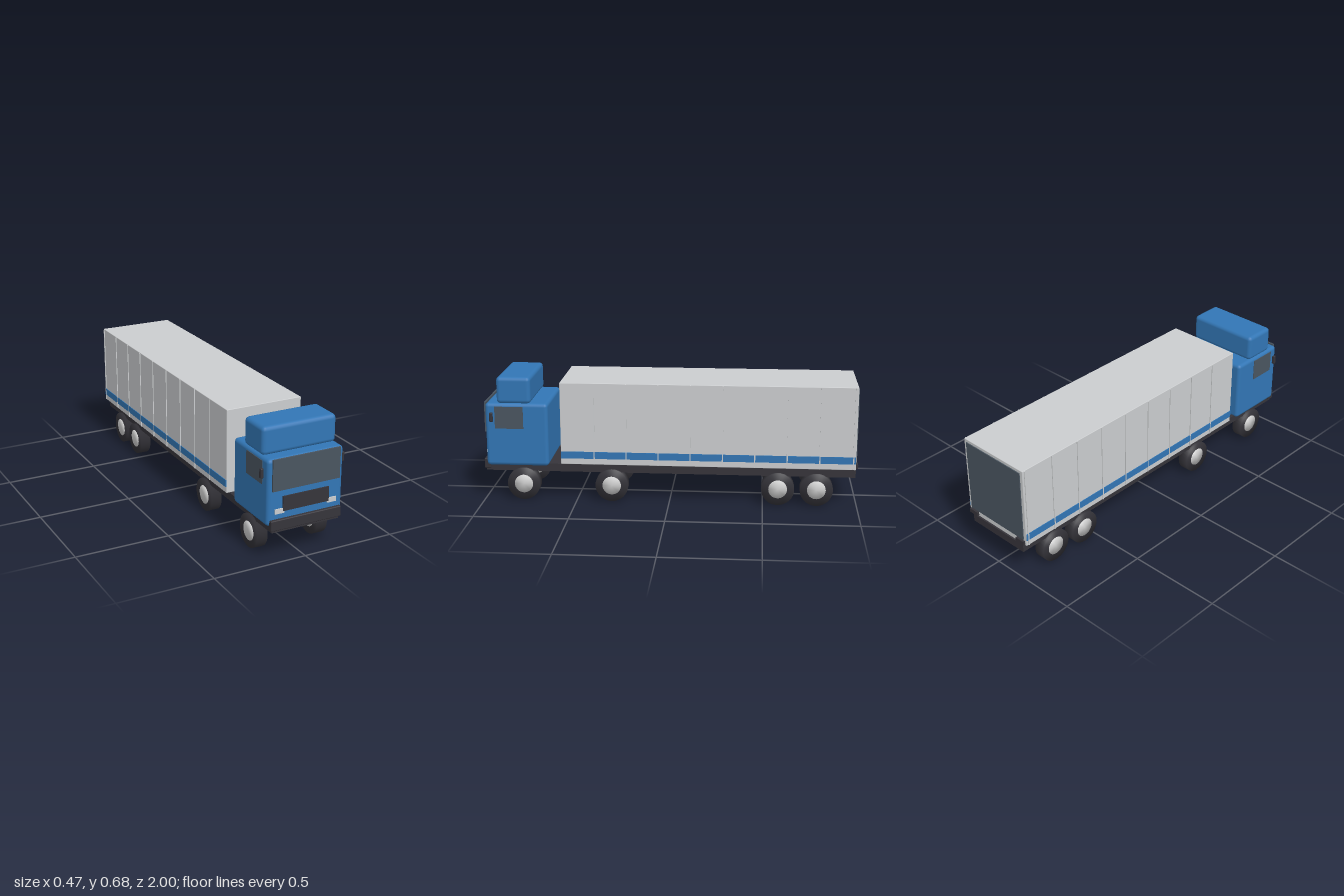
import * as THREE from 'three';
import { mergeVertices } from 'three/addons/utils/BufferGeometryUtils.js';
import { RoundedBoxGeometry } from 'three/addons/geometries/RoundedBoxGeometry.js';

const material = (name, color) => {
  const m = new THREE.MeshStandardMaterial({ color });
  m.name = name;
  return m;
};

export function createModel() {
  const truck = new THREE.Group();
  truck.name = 'boxTruck';

  const blue = material('cabBlue', 0x3276b5);
  const grey = material('cargoGrey', 0xcbcdcf);
  const glass = material('slateGlass', 0x4a5560);
  const dark = material('darkTrim', 0x36343a);
  const rubber = material('tyreRubber', 0x333238);
  const steel = material('hubSteel', 0xd0d0d0);

  const add = (name, geometry, mat, x = 0, y = 0, z = 0) => {
    const mesh = new THREE.Mesh(geometry, mat);
    mesh.name = name;
    mesh.position.set(x, y, z);
    truck.add(mesh);
    return mesh;
  };
  // Box given by its lower and upper limits; a radius rounds its edges
  const box = (name, mat, [x0, x1], [y0, y1], [z0, z1], radius = 0) => {
    const size = [x1 - x0, y1 - y0, z1 - z0];
    const geometry = radius
      ? new RoundedBoxGeometry(...size, 2, radius)
      : new THREE.BoxGeometry(...size);
    return add(name, geometry, mat, (x0 + x1) / 2, (y0 + y1) / 2, (z0 + z1) / 2);
  };
  // The same box on both sides
  const pair = (name, mat, [x0, x1], y, z, radius) => {
    box(name + 'Left', mat, [x0, x1], y, z, radius);
    box(name + 'Right', mat, [-x1, -x0], y, z, radius);
  };

  // Chassis
  box('chassis', dark, [-0.187, 0.187], [0.158, 0.2], [-0.99, 0.99]);

  // Cab and roof fairing
  box('cab', blue, [-0.21, 0.21], [0.19, 0.535], [0.647, 0.984], 0.02);
  box('roofFairing', blue, [-0.205, 0.205], [0.531, 0.676], [0.738, 0.922], 0.022);

  // Cab front
  box('windscreen', glass, [-0.187, 0.187], [0.373, 0.535], [0.983, 0.992]);
  box('grille', dark, [-0.128, 0.128], [0.263, 0.339], [0.983, 0.992]);
  pair('headlight', grey, [0.12, 0.171], [0.253, 0.278], [0.982, 0.99]);
  box('bumper', dark, [-0.197, 0.197], [0.17, 0.225], [0.965, 1.0], 0.005);

  // Cab sides
  pair('sideWindow', glass, [0.206, 0.2125], [0.397, 0.517], [0.779, 0.932]);
  pair('mirror', dark, [0.217, 0.233], [0.438, 0.488], [0.939, 0.957], 0.004);

  // Cargo box with rear door
  box('cargoBox', grey, [-0.212, 0.212], [0.207, 0.653], [-0.988, 0.58], 0.003);
  box('rearDoor', glass, [-0.194, 0.194], [0.24, 0.637], [-0.993, -0.986]);
  pair('rearLight', dark, [0.145, 0.202], [0.212, 0.234], [-1.0, -0.985]);

  // Side stripes and panel ribs
  pair('sideStripe', blue, [0.209, 0.2155], [0.24, 0.278], [-0.986, 0.578]);
  for (let i = 0; i < 8; i++) {
    const z = 0.4 - i * 0.171;
    pair('panelRib' + i, grey, [0.209, 0.2165], [0.21, 0.65], [z - 0.003, z + 0.003]);
  }
  pair('cornerPost', grey, [0.209, 0.2165], [0.21, 0.65], [-0.977, -0.971]);

  // Wheels with softly shaded shared edges
  const softDisc = (radius, width) => {
    const g = new THREE.CylinderGeometry(radius, radius, width, 32);
    g.deleteAttribute('normal');
    g.deleteAttribute('uv');
    const merged = mergeVertices(g);
    merged.computeVertexNormals();
    return merged.rotateZ(Math.PI / 2);
  };
  const tyre = softDisc(0.088, 0.058);
  const hub = softDisc(0.05, 0.06);
  [0.788, 0.31, -0.58, -0.785].forEach((z, axle) => {
    for (const side of [1, -1]) {
      const label = (side > 0 ? 'Left' : 'Right') + axle;
      add('tyre' + label, tyre, rubber, side * 0.171, 0.088, z);
      add('hub' + label, hub, steel, side * 0.171, 0.088, z);
    }
  });

  return truck;
}
